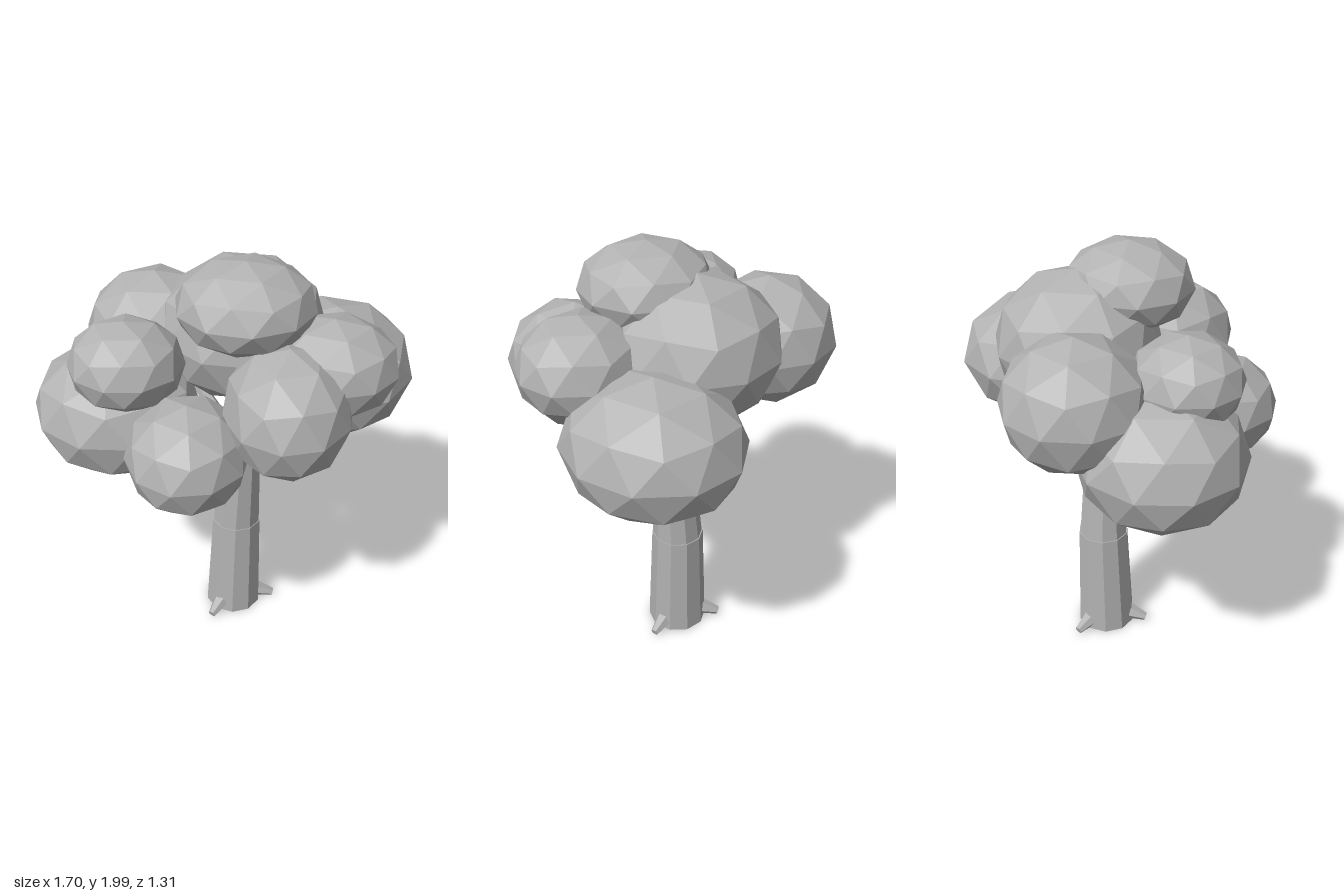
import * as THREE from 'three';

export function createModel() {
  const tree = new THREE.Group();
  tree.name = 'tree';
  const grey = new THREE.MeshStandardMaterial({ color: 0xb2b2b2, flatShading: true });
  grey.name = 'plainGrey';

  const add = (name, geometry) => {
    const mesh = new THREE.Mesh(geometry, grey);
    mesh.name = name;
    tree.add(mesh);
    return mesh;
  };

  // Tapered, many-sided limb running from one point to another
  const limb = (name, from, to, r0, r1, sides) => {
    const a = new THREE.Vector3(...from);
    const dir = new THREE.Vector3(...to).sub(a);
    const length = dir.length();
    const geometry = new THREE.CylinderGeometry(r1, r0, length, sides).translate(0, length / 2, 0);
    const mesh = add(name, geometry);
    mesh.position.copy(a);
    mesh.quaternion.setFromUnitVectors(new THREE.Vector3(0, 1, 0), dir.normalize());
  };

  // Trunk section with level ends, leaning by shearing its vertices
  const trunkSection = (name, from, to, r0, r1) => {
    const h = to[1] - from[1];
    const geometry = new THREE.CylinderGeometry(r1, r0, h, 10).translate(0, h / 2, 0);
    const p = geometry.attributes.position;
    for (let i = 0; i < p.count; i++) {
      const t = p.getY(i) / h;
      p.setX(i, p.getX(i) + (to[0] - from[0]) * t);
      p.setZ(i, p.getZ(i) + (to[2] - from[2]) * t);
    }
    geometry.computeVertexNormals();
    add(name, geometry).position.set(...from);
  };
  trunkSection('lowerTrunk', [0.04, 0.01, -0.1], [0.053, 0.555, -0.107], 0.142, 0.122);
  trunkSection('upperTrunk', [0.053, 0.545, -0.107], [0.09, 1.32, -0.08], 0.118, 0.074);

  // Three stubby roots around the base
  for (let i = 0; i < 3; i++) {
    const a = (i * Math.PI * 2) / 3;
    const at = (r, y) => [0.04 + Math.cos(a) * r, y, -0.1 + Math.sin(a) * r];
    limb('root', at(0.1, 0.06), at(0.208, 0.029), 0.046, 0.02, 6);
  }

  // Branches reaching into the foliage
  limb('rightBranch', [0.04, 0.81, -0.09], [-0.36, 1.15, -0.03], 0.034, 0.026, 6);
  limb('leftBranch', [0.09, 0.94, -0.11], [0.46, 1.18, -0.25], 0.034, 0.026, 6);
  limb('backBranch', [0.06, 1.0, -0.12], [-0.22, 1.33, -0.31], 0.034, 0.026, 6);

  // Foliage clumps: centre, then half-size on each axis
  const clumps = [
    [-0.48, 1.28, 0.0, 0.375, 0.305, 0.365],
    [-0.41, 1.57, 0.125, 0.25, 0.197, 0.24],
    [-0.14, 1.28, 0.36, 0.265, 0.242, 0.29],
    [0.27, 1.455, 0.27, 0.275, 0.285, 0.325],
    [0.45, 1.575, 0.11, 0.285, 0.217, 0.26],
    [0.49, 1.352, -0.27, 0.365, 0.299, 0.39],
    [0.085, 1.808, 0.035, 0.3, 0.192, 0.285],
    [0.07, 1.58, -0.2, 0.38, 0.325, 0.37],
    [-0.33, 1.495, -0.32, 0.325, 0.29, 0.315],
  ];
  clumps.forEach(([x, y, z, rx, ry, rz], i) => {
    const geometry = new THREE.IcosahedronGeometry(1, 1)
      .rotateX(-Math.atan((1 + Math.sqrt(5)) / 2))
      .rotateY(i * 0.7)
      .scale(rx, ry, rz);
    add('foliageClump', geometry).position.set(x, y, z);
  });

  return tree;
}
